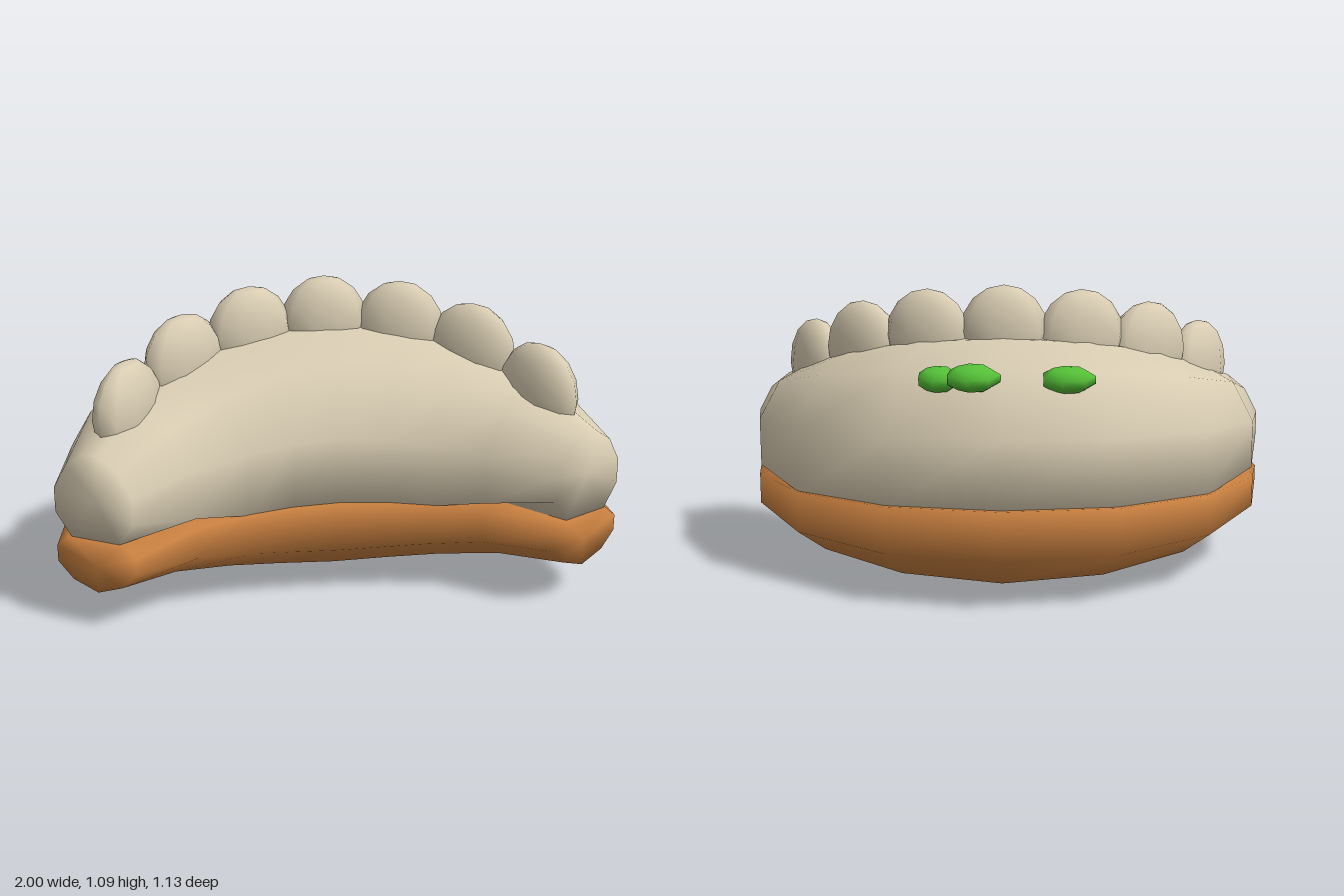
import * as THREE from 'three';

const cream = new THREE.MeshStandardMaterial({ color: 0xd8ccb2 });
const brown = new THREE.MeshStandardMaterial({ color: 0xc98040 });
const green = new THREE.MeshStandardMaterial({ color: 0x55c038 });

// Half of the crescent, centre to tip: back and front edge (x, z), then the
// heights of the crust and of the filling section at that station.
const stations = [
  { back: [0, -0.57], front: [0, 0.34], crust: [0, 0.055, 0.185, 0.365, 0.367], dough: [0.36, 0.36, 0.61, 0.83, 0.905], inset: 0.96 },
  { back: [0.41, -0.49], front: [0.16, 0.345], crust: [0.02, 0.07, 0.19, 0.36, 0.362], dough: [0.355, 0.355, 0.6, 0.81, 0.885], inset: 0.96 },
  { back: [0.75, -0.255], front: [0.31, 0.36], crust: [0.055, 0.1, 0.2, 0.35, 0.352], dough: [0.345, 0.345, 0.58, 0.76, 0.83], inset: 0.965 },
  { back: [0.945, 0.08], front: [0.51, 0.41], crust: [0.1, 0.14, 0.22, 0.335, 0.347], dough: [0.345, 0.37, 0.55, 0.69, 0.74], inset: 0.975 },
  { back: [1, 0.41], front: [0.73, 0.56], crust: [0.145, 0.18, 0.24, 0.3, 0.345], dough: [0.345, 0.43, 0.52, 0.61, 0.66], inset: 0.985 },
];
const crustWidths = [0, 0.62, 1, 1, 0.66];
const doughWidths = [0.62, 1, 1, 0.66, 0.18];

// Skins one closed section along the mirrored crescent and caps both tips.
function crescent(key, widths) {
  const positions = [], index = [];
  const half = widths.map((w, k) => [w, k]);
  const loop = [...half, ...half.filter(([w]) => w > 0).reverse().map(([w, k]) => [-w, k])];
  const n = loop.length;
  const rows = [];
  for (let i = -4; i <= 4; i++) rows.push([stations[Math.abs(i)], i < 0 ? -1 : 1]);

  const centre = (s) => [(s.back[0] + s.front[0]) / 2, (s.back[1] + s.front[1]) / 2];
  for (const [s, side] of rows) {
    const c = centre(s);
    const inset = key === 'dough' ? s.inset : 1;
    for (const [w, k] of loop) {
      const t = w * inset;
      positions.push(side * (c[0] + (s.back[0] - c[0]) * t), s[key][k], c[1] + (s.back[1] - c[1]) * t);
    }
  }
  for (let i = 0; i < rows.length - 1; i++) {
    for (let j = 0; j < n; j++) {
      const a = i * n + j, b = i * n + (j + 1) % n;
      index.push(a, b, a + n, b, b + n, a + n);
    }
  }
  // Tip caps share the rim vertices so the ends shade softly
  const tip = stations[4], c = centre(tip);
  const y = (Math.min(...tip[key]) + Math.max(...tip[key])) / 2;
  const first = rows.length * n, last = (rows.length - 1) * n;
  positions.push(-c[0], y, c[1], c[0], y, c[1]);
  for (let j = 0; j < n; j++) {
    const k = (j + 1) % n;
    index.push(first, k, j, first + 1, last + j, last + k);
  }
  const geometry = new THREE.BufferGeometry();
  geometry.setAttribute('position', new THREE.Float32BufferAttribute(positions, 3));
  geometry.setIndex(index);
  geometry.computeVertexNormals();
  return geometry;
}

export function createModel() {
  const group = new THREE.Group();
  const add = (name, geometry, material) => {
    const mesh = new THREE.Mesh(geometry, material);
    mesh.name = name;
    group.add(mesh);
    return mesh;
  };

  add('crispBase', crescent('crust', crustWidths), brown);
  add('doughBody', crescent('dough', doughWidths), cream);

  // Row of pleats along the ridge: position, half sizes, heading
  const pleatShape = new THREE.SphereGeometry(1, 10, 8);
  const pleats = [
    [[0, 0.92, -0.11], [0.16, 0.17, 0.083], 0],
    [[0.28, 0.895, -0.07], [0.165, 0.175, 0.083], 0.29],
    [[0.53, 0.83, 0.05], [0.175, 0.18, 0.083], 0.64],
    [[0.735, 0.73, 0.25], [0.18, 0.183, 0.085], 0.98],
  ];
  pleats.forEach(([p, size, heading], i) => {
    for (const side of i ? [-1, 1] : [1]) {
      const pleat = add('pleat', pleatShape, cream);
      pleat.position.set(side * p[0], p[1], p[2]);
      pleat.scale.set(...size);
      pleat.rotation.y = -side * heading;
    }
  });

  // Chopped green garnish on the back slope
  const garnishShape = new THREE.SphereGeometry(1, 7, 5);
  const garnish = [
    [[-0.23, 0.795, -0.4], [0.1, 0.047, 0.058]],
    [[0.1, 0.805, -0.43], [0.1, 0.047, 0.065]],
    [[0.22, 0.795, -0.4], [0.08, 0.045, 0.056]],
  ];
  for (const [p, size] of garnish) {
    const piece = add('garnish', garnishShape, green);
    piece.position.set(...p);
    piece.scale.set(...size);
    piece.rotation.x = -0.25;
  }
  return group;
}
